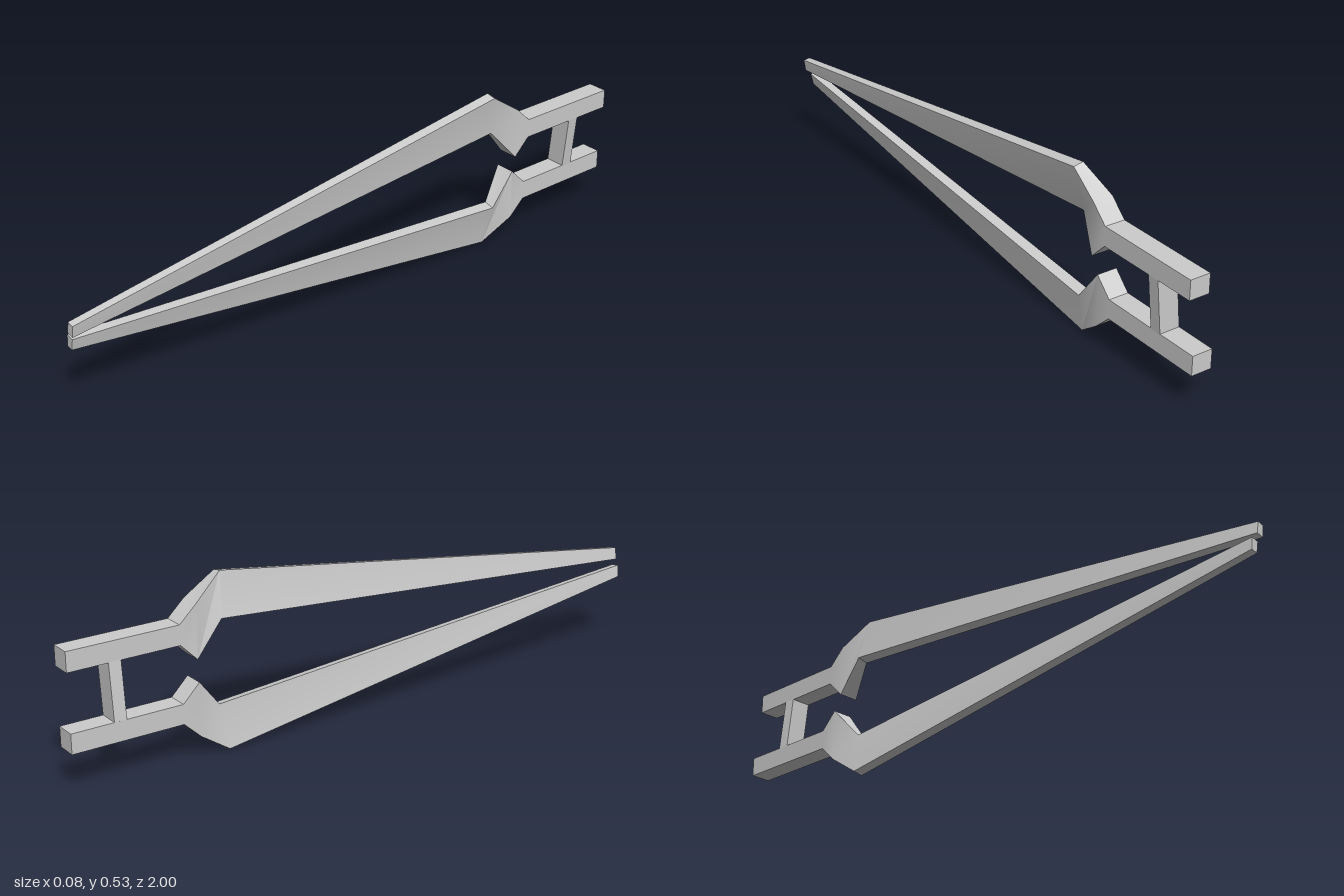
import * as THREE from 'three';
import { toCreasedNormals } from 'three/addons/utils/BufferGeometryUtils.js';

// Skin a solid through four-cornered sections of [x, y, z],
// corners ordered clockwise as seen along the loft from its far end.
function loft(sections) {
  const pos = [];
  const quad = (a, b, c, d) => pos.push(...a, ...b, ...c, ...a, ...c, ...d);
  for (let i = 0; i < sections.length - 1; i++) {
    const s = sections[i], t = sections[i + 1];
    for (let j = 0; j < 4; j++) {
      const k = (j + 1) % 4;
      quad(s[j], t[j], t[k], s[k]);
    }
  }
  const [a, b, c, d] = sections[0];
  const [e, f, g, h] = sections[sections.length - 1];
  quad(a, b, c, d);
  quad(h, g, f, e);
  const geo = new THREE.BufferGeometry();
  geo.setAttribute('position', new THREE.Float32BufferAttribute(pos, 3));
  return toCreasedNormals(geo, 0.5);
}

// Upright rectangular section at depth z
const rect = (x0, x1, y0, y1, z) => [[x0, y1, z], [x1, y1, z], [x1, y0, z], [x0, y0, z]];

export function createModel() {
  const group = new THREE.Group();
  const material = new THREE.MeshStandardMaterial({ color: 0xcccccc });
  const L = -0.024, R = 0.041;

  // One prong: square grip, flared shoulder with inner barb, leaning tapered blade
  const prongGeo = loft([
    rect(L, R, 0.348, 0.408, -0.993),
    rect(L, R, 0.348, 0.408, -0.65),
    rect(L, R, 0.295, 0.458, -0.597),
    [[0.004, 0.528, -0.502], [0.036, 0.522, -0.502], [0.01, 0.39, -0.517], [-0.024, 0.398, -0.517]],
    [[0.003, 0.312, 1], [0.025, 0.308, 1], [0.02, 0.271, 1], [-0.005, 0.275, 1]],
  ]);

  const upper = new THREE.Mesh(prongGeo, material);
  upper.name = 'upperProng';
  group.add(upper);

  // Lower prong is the upper one turned half round the long axis
  const lower = new THREE.Mesh(prongGeo, material);
  lower.name = 'lowerProng';
  lower.rotation.z = Math.PI;
  lower.position.set(0, 0.53, -0.007);
  group.add(lower);

  // Slanted crossbar joining the two offset grips
  const level = (x0, x1, y) => [[x0, y, -0.87], [x1, y, -0.87], [x1, y, -0.832], [x0, y, -0.832]];
  const crossbar = new THREE.Mesh(loft([level(-R, -L, 0.18), level(L, R, 0.35)]), material);
  crossbar.name = 'crossbar';
  group.add(crossbar);

  return group;
}
